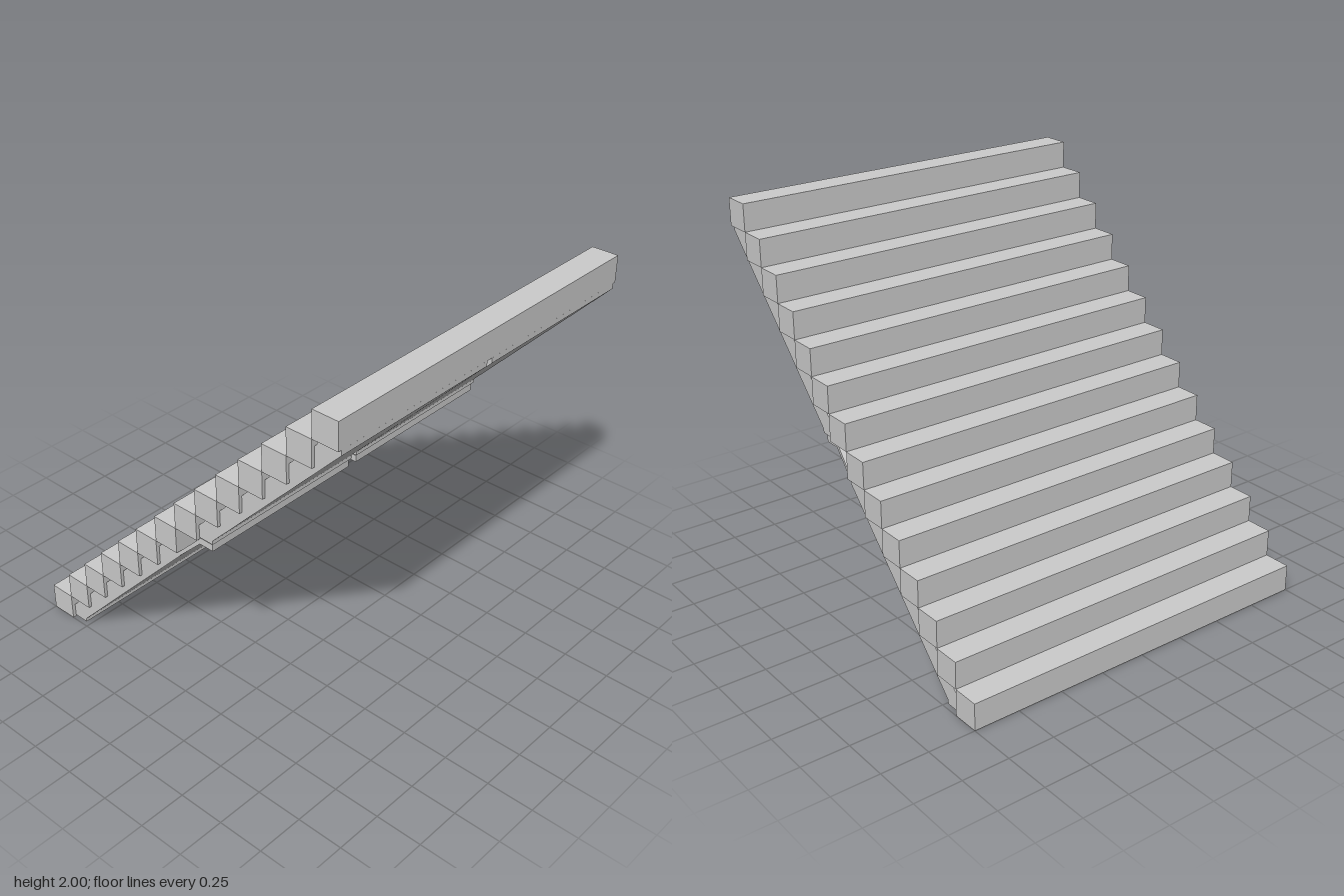
import * as THREE from 'three';

const material = new THREE.MeshStandardMaterial({ color: 0xcccccc, flatShading: true });
const STEPS = 14;
const SIZE = 2 / STEPS;
const PANEL_WIDTH = 0.965;

// Extrudes a (z, y) side profile across x, centred on x = 0.
function sideProfile(points, width) {
  const shape = new THREE.Shape(points.map(([z, y]) => new THREE.Vector2(z, y)));
  const geometry = new THREE.ExtrudeGeometry(shape, { depth: width, bevelEnabled: false });
  geometry.translate(0, 0, -width / 2);
  geometry.rotateY(-Math.PI / 2);
  return geometry;
}

function add(parent, name, geometry, x, y, z) {
  const mesh = new THREE.Mesh(geometry, material);
  mesh.name = name;
  mesh.position.set(x, y, z);
  parent.add(mesh);
}

export function createModel() {
  const model = new THREE.Group();
  model.name = 'staircase';

  // Square-section steps climbing towards the front
  const step = new THREE.BoxGeometry(2, SIZE, SIZE);
  for (let i = 0; i < STEPS; i++) {
    add(model, 'step', step, 0, (i + 0.5) * SIZE, -1 + (i + 0.5) * SIZE);
  }

  // Sloping soffit panel with upright lips at both ends
  const panel = sideProfile([
    [1, 1.857], [1, 1.83], [0.23, 1.03], [0.23, 1.01], [0.145, 1.01],
    [0.145, 1.08], [0.87, 1.83], [0.87, 1.857],
  ], PANEL_WIDTH);

  // Ledge between the flights, narrowing towards its front
  const ledge = sideProfile([
    [0.22, 1], [0.22, 0.963], [0.135, 0.963], [0, 0.832], [0, 0.857], [0.143, 1],
  ], PANEL_WIDTH);
  const p = ledge.attributes.position;
  for (let i = 0; i < p.count; i++) {
    const t = Math.min(1, p.getZ(i) / 0.135);
    p.setX(i, p.getX(i) * (1 - 0.022 * t));
  }
  ledge.computeVertexNormals();

  for (const side of [-1, 1]) {
    add(model, 'upperSoffitPanel', panel, side * 0.5, 0, 0);
    add(model, 'lowerSoffitPanel', panel, side * 0.5, -1, -1);
    add(model, 'soffitLedge', ledge, side * 0.5 - 0.003, 0, 0);
  }
  return model;
}
